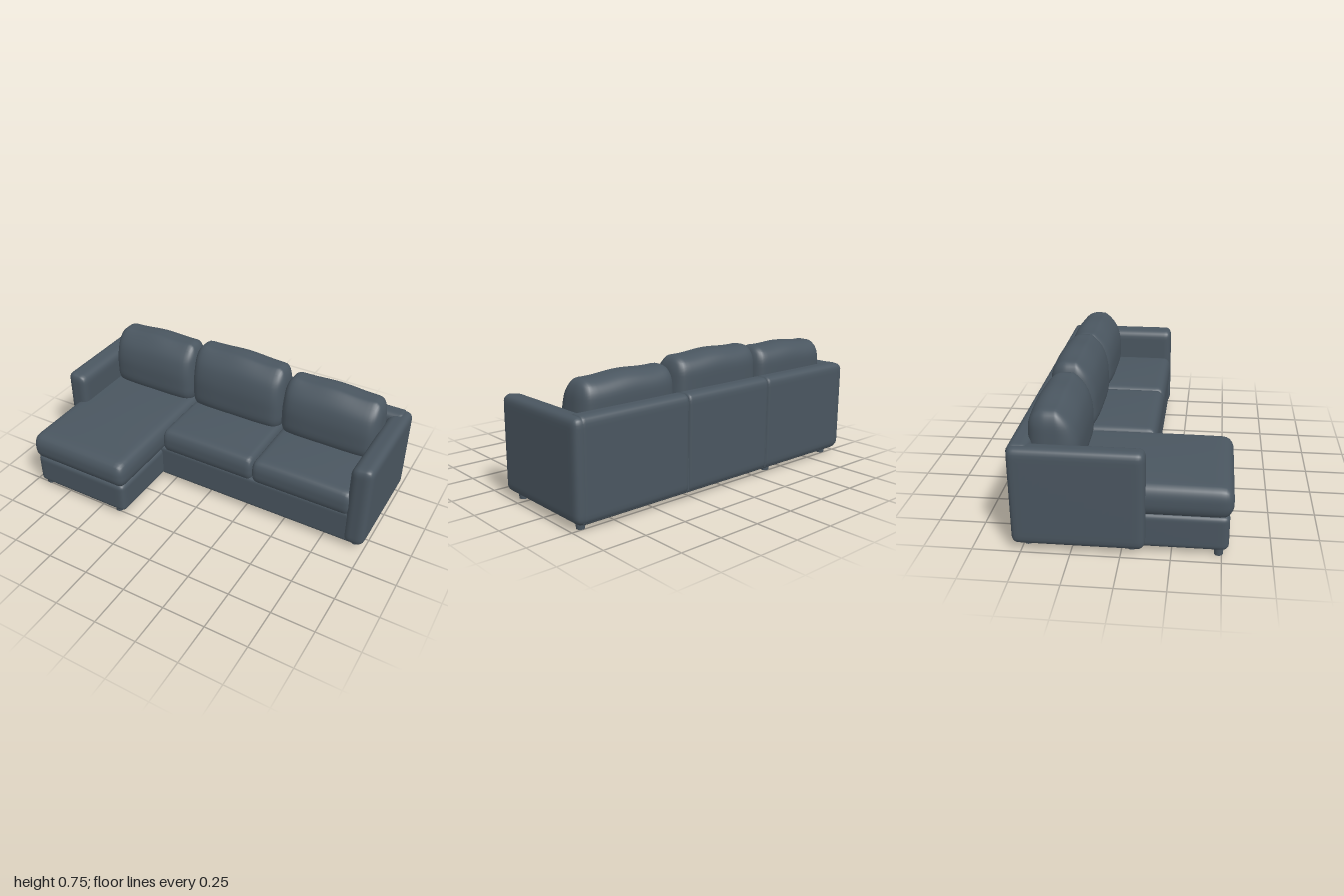
import * as THREE from 'three';
import { mergeVertices } from 'three/addons/utils/BufferGeometryUtils.js';

const fabric = new THREE.MeshStandardMaterial({ color: 0x4a5660 });
fabric.name = 'slate fabric';

// Soft box between two corners, with a rounding radius per axis and an optional
// rule that moves each vertex. The rule gets the point and its -1..1 position.
function softBox(name, min, max, radius, rule) {
  const N = 24;
  const half = min.map((v, i) => (max[i] - v) / 2);
  const mid = min.map((v, i) => (max[i] + v) / 2);
  let geo = new THREE.BoxGeometry(2, 2, 2, N, N, N);
  geo.deleteAttribute('uv');
  geo.deleteAttribute('normal');
  geo = mergeVertices(geo);
  const pos = geo.attributes.position;
  const p = new THREE.Vector3();
  const d = new THREE.Vector3();
  for (let i = 0; i < pos.count; i++) {
    p.fromBufferAttribute(pos, i);
    // crowd the grid towards the edges, where the rounding is
    const q = p.toArray().map((t, k) => Math.sin(t * Math.PI / 2) * half[k]);
    const inner = q.map((v, k) => THREE.MathUtils.clamp(v, radius[k] - half[k], half[k] - radius[k]));
    d.fromArray(q.map((v, k) => (v - inner[k]) / radius[k])).normalize();
    p.fromArray(inner.map((v, k) => v + d.getComponent(k) * radius[k]));
    const u = p.toArray().map((v, k) => v / half[k]);
    p.add(d.fromArray(mid));
    if (rule) rule(p, u);
    pos.setXYZ(i, p.x, p.y, p.z);
  }
  geo.computeVertexNormals();
  const mesh = new THREE.Mesh(geo, fabric);
  mesh.name = name;
  return mesh;
}

export function createModel() {
  const sofa = new THREE.Group();
  sofa.name = 'cornerSofa';
  const seams = [-0.96, -0.31, 0.29, 0.96];

  // Frame
  sofa.add(softBox('base', [-0.97, 0.035, -0.545], [0.97, 0.24, 0.112], [0.02, 0.02, 0.02]));
  sofa.add(softBox('chaiseBase', [-0.95, 0.03, -0.1], [-0.32, 0.225, 0.535], [0.035, 0.03, 0.035]));

  // Arms, slightly lower along their inner edge
  for (const side of [-1, 1]) {
    const xs = [side, side * 0.875].sort((a, b) => a - b);
    sofa.add(softBox(side < 0 ? 'rightArm' : 'leftArm', [xs[0], 0.035, -0.55], [xs[1], 0.574, 0.122],
      [0.045, 0.045, 0.035], (p, u) => {
        if (u[1] > 0) p.y -= 0.008 * (1 - side * u[0]) * u[1];
      }));
  }

  // Back rest in three upholstered panels with fine seams between
  for (let i = 0; i < 3; i++) {
    sofa.add(softBox('backPanel', [seams[i] - 0.002, 0.035, -0.553], [seams[i + 1] + 0.002, 0.574, -0.44],
      [0.012, 0.04, 0.04]));
  }

  // Seat cushions, with gently domed tops
  const dome = (p, u) => {
    if (u[1] > 0) p.y += 0.012 * (1 - u[0] ** 2) * (1 - u[2] ** 2) * u[1];
  };
  sofa.add(softBox('chaiseCushion', [-0.96, 0.208, -0.46], [-0.308, 0.378, 0.552], [0.05, 0.075, 0.06], dome));
  sofa.add(softBox('middleSeatCushion', [-0.314, 0.215, -0.46], [0.292, 0.376, 0.125], [0.03, 0.07, 0.045], dome));
  sofa.add(softBox('endSeatCushion', [0.288, 0.215, -0.46], [0.9, 0.376, 0.125], [0.035, 0.07, 0.045], dome));

  // Back cushions: the front leans back towards a rounded crest, the ends are pinched
  const backs = [
    { x: [-0.9, -0.318], top: 0.725, tilt: 0.008 },
    { x: [-0.326, 0.292], top: 0.75, tilt: -0.004 },
    { x: [0.284, 0.89], top: 0.713, tilt: -0.005 },
  ];
  for (const { x, top, tilt } of backs) {
    sofa.add(softBox('backCushion', [x[0], 0.34, -0.475], [x[1], top, -0.205], [0.055, 0.1, 0.1], (p, u) => {
      const rise = Math.max(0, (u[1] + 0.1) / 1.1);
      const pinch = 1 - 0.2 * u[0] ** 4;
      p.z = -0.35 + (p.z + 0.35) * pinch;
      if (u[2] > 0) p.z -= 0.07 * rise * rise * u[2];
      p.y += rise * (tilt * u[0] + 0.005 * Math.cos(u[0] * 5));
      p.x -= 0.012 * u[0] * rise;
    }));
  }

  // Feet
  const footShape = new THREE.CylinderGeometry(0.026, 0.022, 0.05, 20);
  const feet = [
    [-0.915, 0.485], [-0.39, 0.485], [-0.905, 0.05], [-0.385, 0.05],
    [-0.905, -0.478], [-0.385, -0.478], [0.935, 0.05], [0.935, -0.478],
  ];
  for (const [x, z] of feet) {
    const foot = new THREE.Mesh(footShape, fabric);
    foot.name = 'foot';
    foot.position.set(x, 0.025, z);
    sofa.add(foot);
  }
  return sofa;
}
